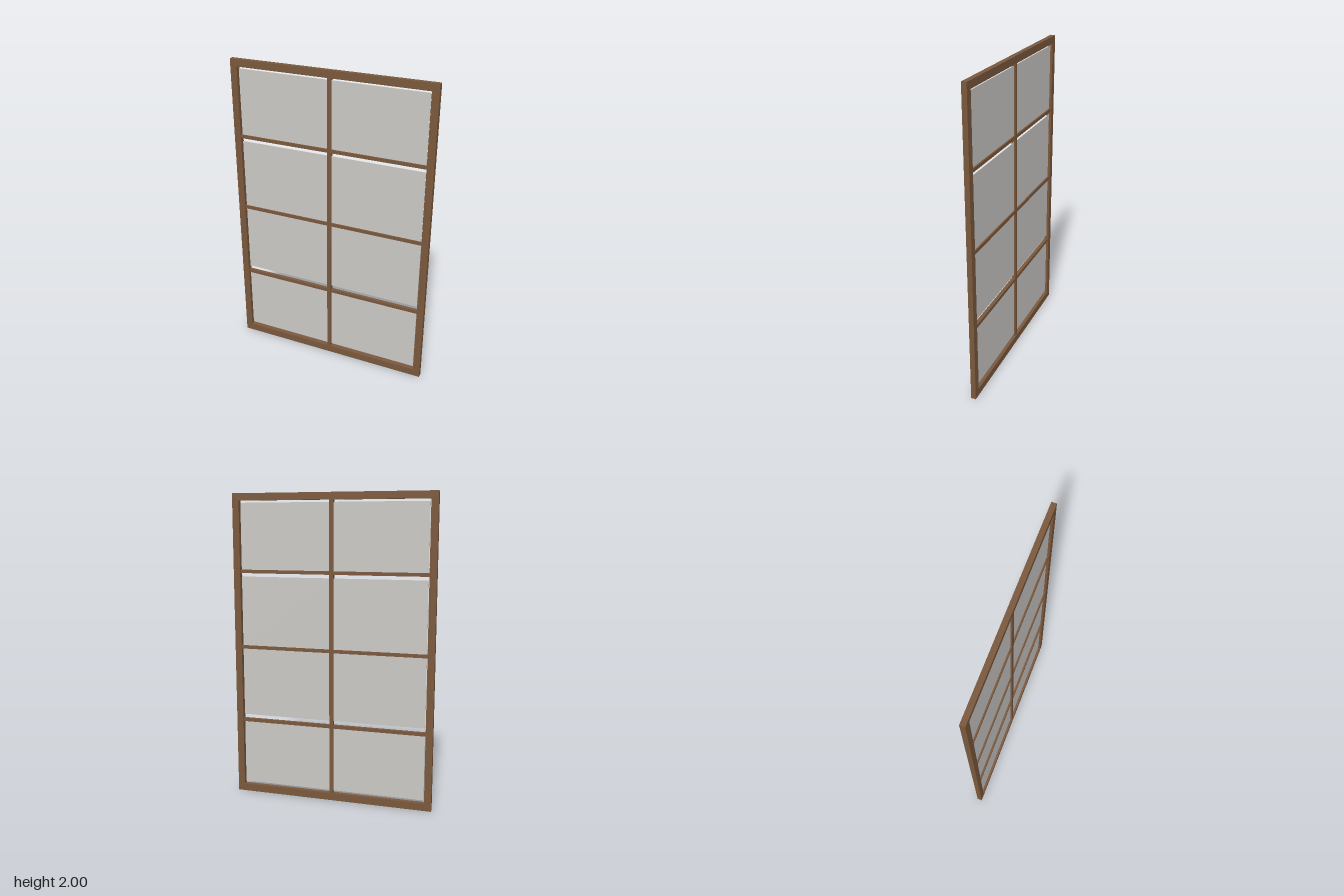
import * as THREE from 'three';

export function createModel() {
  const group = new THREE.Group();
  const wood = new THREE.MeshStandardMaterial({ color: 0x7a583c });
  const glass = new THREE.MeshStandardMaterial({ color: 0xcbc9c5 });

  const halfW = 0.665, height = 2, depth = 0.032;
  const innerX = 0.62, innerBottom = 0.048, innerTop = 1.954;

  const addBox = (name, material, x0, x1, y0, y1, d) => {
    const mesh = new THREE.Mesh(new THREE.BoxGeometry(x1 - x0, y1 - y0, d), material);
    mesh.position.set((x0 + x1) / 2, (y0 + y1) / 2, 0);
    mesh.name = name;
    group.add(mesh);
  };

  const rectangle = (PathType, x, y0, y1) => new PathType([
    new THREE.Vector2(-x, y0), new THREE.Vector2(x, y0),
    new THREE.Vector2(x, y1), new THREE.Vector2(-x, y1),
  ]);

  // Outer frame with one large opening
  const outline = rectangle(THREE.Shape, halfW, 0, height);
  outline.holes.push(rectangle(THREE.Path, innerX, innerBottom, innerTop));
  const frameGeometry = new THREE.ExtrudeGeometry(outline, { depth, bevelEnabled: false });
  frameGeometry.translate(0, 0, -depth / 2);
  const frame = new THREE.Mesh(frameGeometry, wood);
  frame.name = 'outerFrame';
  group.add(frame);

  // Glazing bars
  addBox('verticalBar', wood, -0.013, 0.013, innerBottom, innerTop, 0.025);
  for (const y of [0.503, 1.002, 1.502]) {
    addBox('horizontalBar', wood, -innerX, innerX, y - 0.011, y + 0.011, 0.023);
  }

  // Panes, leaving narrow gaps at the bars and frame
  const rows = [[0.065, 0.505], [0.54, 1.0], [1.004, 1.468], [1.498, 1.94]];
  for (const [y0, y1] of rows) {
    addBox('rightPane', glass, -0.614, -0.012, y0, y1, 0.004);
    addBox('leftPane', glass, 0.012, 0.614, y0, y1, 0.004);
  }
  return group;
}
